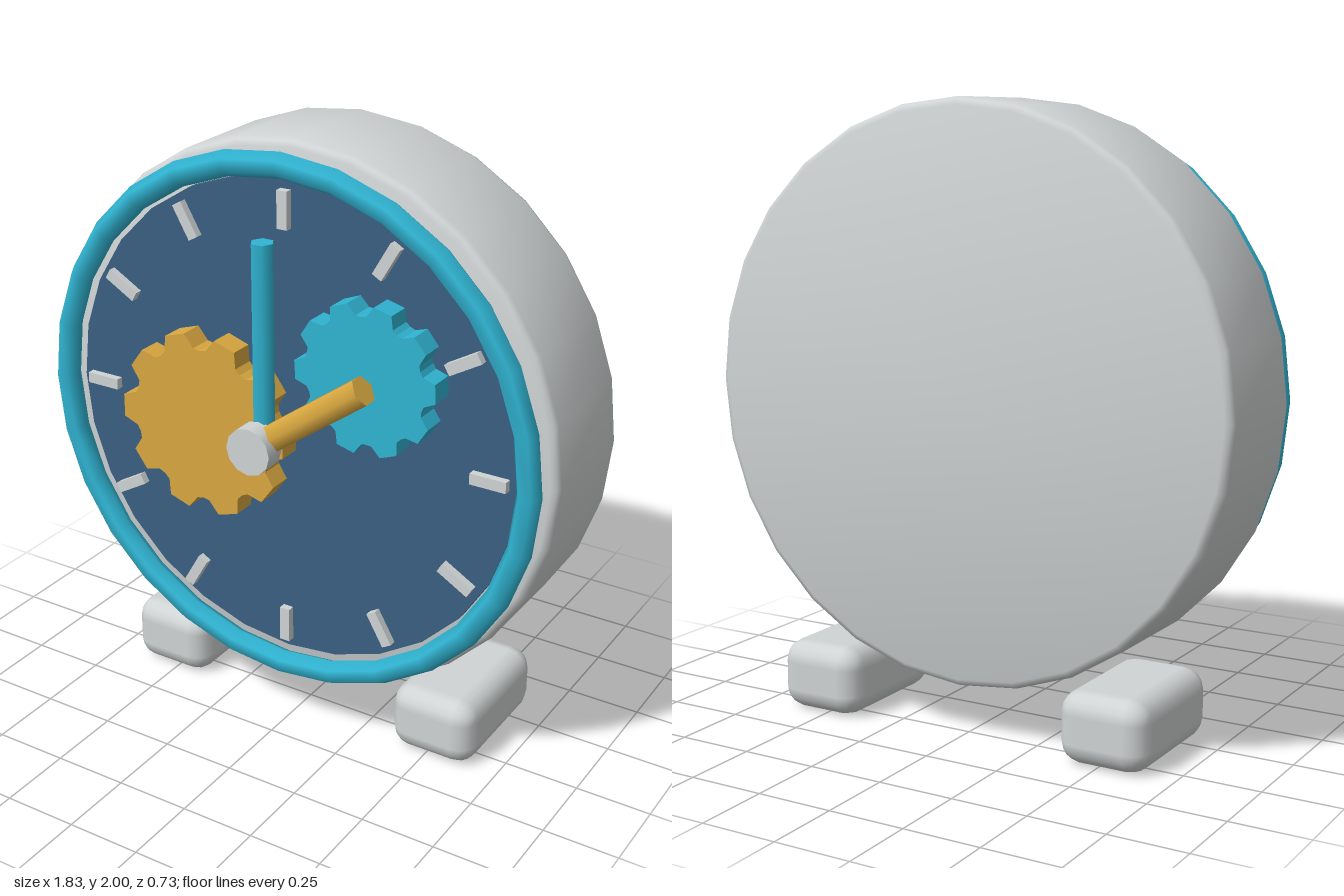
import * as THREE from 'three';
import { toCreasedNormals } from 'three/addons/utils/BufferGeometryUtils.js';
import { RoundedBoxGeometry } from 'three/addons/geometries/RoundedBoxGeometry.js';

const CENTRE_Y = 1.085;

function material(name, color) {
  const m = new THREE.MeshStandardMaterial({ color });
  m.name = name;
  return m;
}

// Gear plate with blunt teeth, facing +z
function gearGeometry(outer, inner, teeth, depth) {
  const pitch = (Math.PI * 2) / teeth;
  const tooth = [[-0.5, inner], [-0.36, inner * 1.02], [-0.2, outer], [0.2, outer], [0.36, inner * 1.02]];
  const points = [];
  for (let i = 0; i < teeth; i++) {
    for (const [t, r] of tooth) {
      const a = (i + t) * pitch;
      points.push(new THREE.Vector2(r * Math.cos(a), r * Math.sin(a)));
    }
  }
  return new THREE.ExtrudeGeometry(new THREE.Shape(points), { depth, bevelEnabled: false });
}

// Six-sided rod that starts at its origin and runs up +y
function handGeometry(radius, length, turn) {
  const g = new THREE.CylinderGeometry(radius, radius, length, 6, 1, false, turn);
  return g.translate(0, length / 2, 0);
}

export function createModel() {
  const silver = material('silver', 0xd0d4d4);
  const navy = material('navy', 0x3a5f82);
  const teal = material('teal', 0x30b4d2);
  const gold = material('gold', 0xd9a840);

  const model = new THREE.Group();
  model.name = 'clock';
  const dial = new THREE.Group();
  dial.name = 'clockDial';
  dial.position.y = CENTRE_Y;
  model.add(dial);

  const add = (parent, name, geometry, mat, x = 0, y = 0, z = 0) => {
    const mesh = new THREE.Mesh(geometry, mat);
    mesh.name = name;
    mesh.position.set(x, y, z);
    parent.add(mesh);
    return mesh;
  };

  // Drum body with softened rims
  const profile = [
    [0, -0.32], [0.89, -0.32], [0.908, -0.313], [0.915, -0.295],
    [0.915, 0.085], [0.908, 0.103], [0.89, 0.11], [0, 0.11],
  ].map(([r, z]) => new THREE.Vector2(r, z));
  const body = toCreasedNormals(new THREE.LatheGeometry(profile, 28), 0.9);
  add(dial, 'body', body.rotateX(Math.PI / 2), silver);

  // Face plate and bezel ring
  const face = new THREE.CylinderGeometry(0.803, 0.803, 0.04, 28).rotateX(Math.PI / 2);
  add(dial, 'face', face, navy, 0, 0, 0.12);
  add(dial, 'bezel', new THREE.TorusGeometry(0.852, 0.041, 6, 28), teal, 0, 0, 0.17);

  // Hour marks
  const mark = new THREE.BoxGeometry(0.036, 0.12, 0.03);
  for (let i = 0; i < 12; i++) {
    const a = (i * Math.PI) / 6;
    const m = add(dial, 'hourMark', mark, silver, 0.713 * Math.sin(a), 0.713 * Math.cos(a), 0.15);
    m.rotation.z = -a;
  }

  // Decorative gears
  add(dial, 'largeGear', gearGeometry(0.31, 0.258, 10, 0.08), gold, -0.275, -0.035, 0.14);
  add(dial, 'smallGear', gearGeometry(0.243, 0.203, 10, 0.08), teal, 0.32, 0.255, 0.14).rotation.z = 0.06;

  // Hands and hub
  add(dial, 'minuteHand', handGeometry(0.037, 0.645, Math.PI / 2), teal, 0, 0, 0.27);
  add(dial, 'hourHand', handGeometry(0.048, 0.45, 0), gold, 0, 0, 0.295).rotation.z = -0.942;
  const hub = new THREE.CylinderGeometry(0.078, 0.078, 0.07, 12).rotateX(Math.PI / 2);
  add(dial, 'hub', hub, silver, 0, 0, 0.33);

  // Feet
  const foot = new RoundedBoxGeometry(0.3, 0.23, 0.485, 2, 0.07);
  for (const side of [1, -1]) {
    add(model, side > 0 ? 'leftFoot' : 'rightFoot', foot, silver, side * 0.52, 0.117, -0.1225);
  }
  return model;
}
